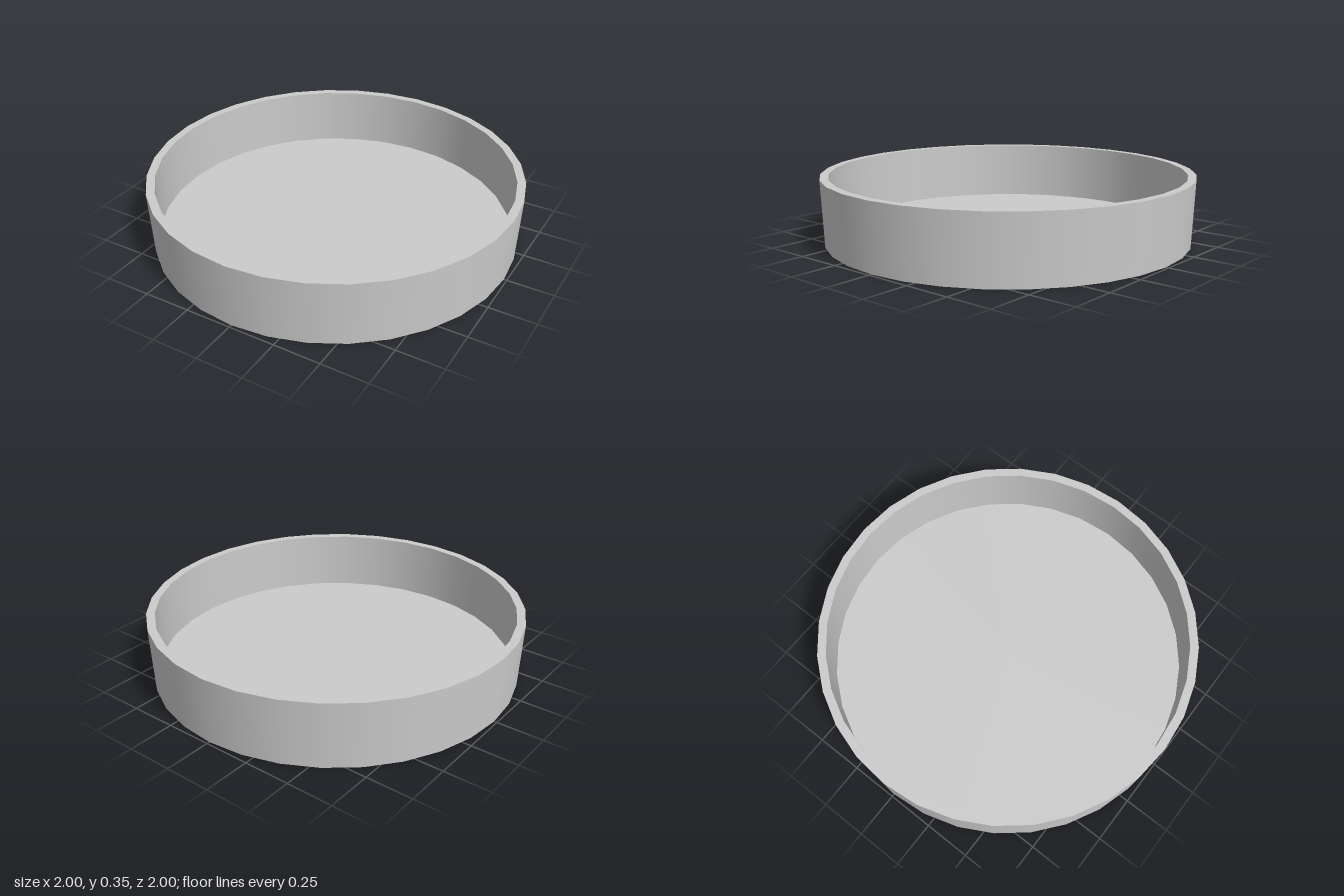
import * as THREE from 'three';

const SIDES = 32;
const material = new THREE.MeshStandardMaterial({ color: 0xcccccc });

// One band of the dish, revolved from a straight profile segment, so the edges between bands stay sharp
function band(name, from, to) {
  const points = [new THREE.Vector2(...from), new THREE.Vector2(...to)];
  const mesh = new THREE.Mesh(new THREE.LatheGeometry(points, SIDES), material);
  mesh.name = name;
  return mesh;
}

export function createModel() {
  const height = 0.355, floorY = 0.035;
  const baseRadius = 0.985, rimRadius = 1, innerRadius = 0.955;

  const dish = new THREE.Group();
  dish.name = 'dish';
  dish.add(
    band('underside', [0, 0], [baseRadius, 0]),
    band('outerWall', [baseRadius, 0], [rimRadius, height]),
    band('rim', [rimRadius, height], [innerRadius, height]),
    band('innerWall', [innerRadius, height], [innerRadius, floorY]),
    band('floor', [innerRadius, floorY], [0, floorY]),
  );
  return dish;
}
